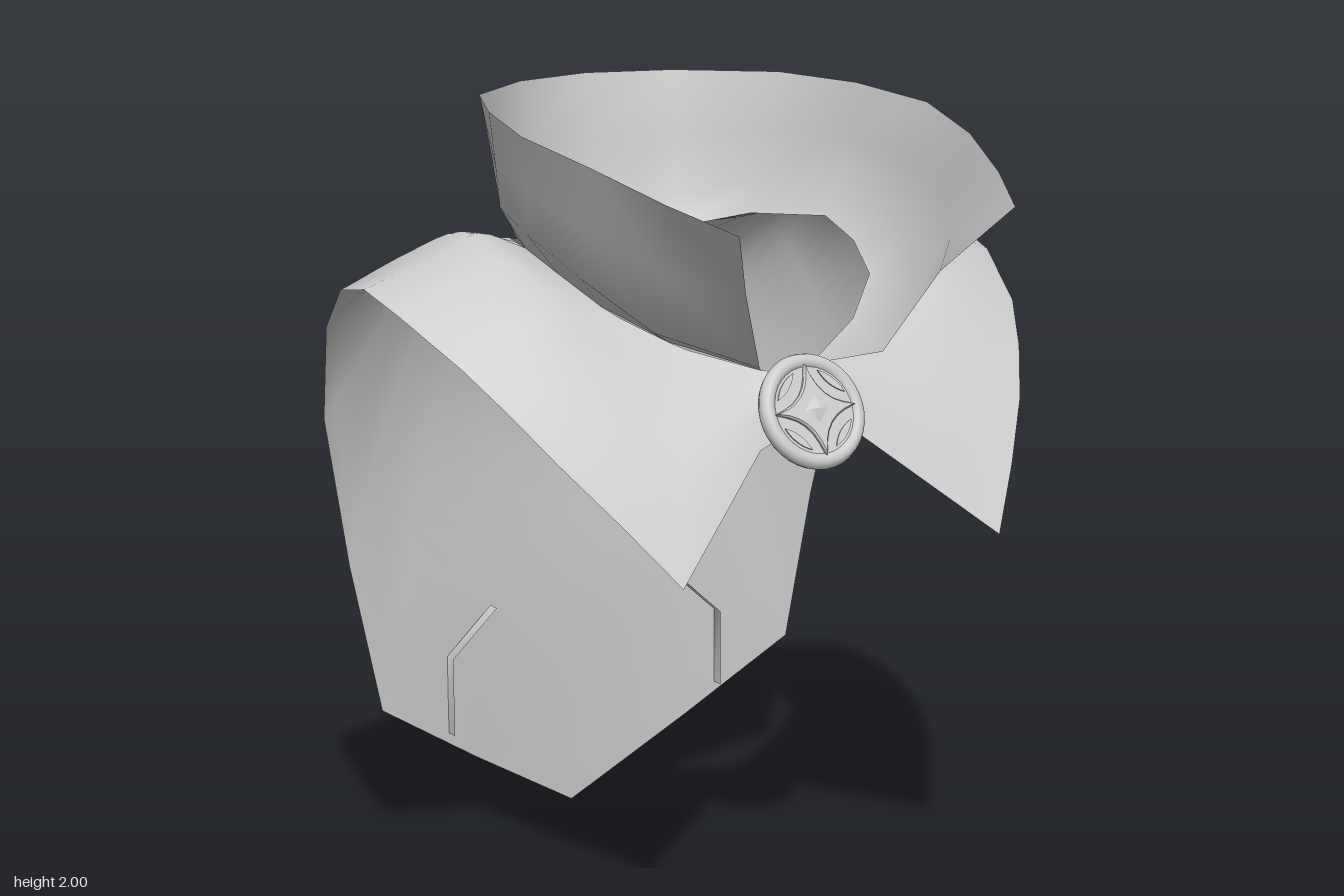
import * as THREE from 'three';

const cloth = new THREE.MeshStandardMaterial({ color: 0xcccccc, side: THREE.DoubleSide });
const metal = new THREE.MeshStandardMaterial({ color: 0xcccccc });

function addMesh(parent, name, geometry, material) {
  const mesh = new THREE.Mesh(geometry, material);
  mesh.name = name;
  parent.add(mesh);
  return mesh;
}

const toVectors = section => section.map(p => new THREE.Vector3(...p));

// Resamples a section evenly along a smooth curve.
function resample(section, count) {
  return new THREE.CatmullRomCurve3(toVectors(section), false, 'centripetal').getSpacedPoints(count);
}

// Adds the mirrored half; the last section lies on the centre plane.
function mirrorSections(half) {
  const other = half.slice(0, -1).reverse()
    .map(s => s.map(p => new THREE.Vector3(-p.x, p.y, p.z)));
  return [...half, ...other];
}

// Skin through sections with equal point counts.
function loft(sections) {
  const n = sections[0].length;
  const positions = [], index = [];
  sections.forEach(s => s.forEach(p => positions.push(p.x, p.y, p.z)));
  for (let i = 0; i < sections.length - 1; i++) {
    for (let j = 0; j < n - 1; j++) {
      const a = i * n + j, b = a + n;
      index.push(a, a + 1, b, b, a + 1, b + 1);
    }
  }
  const geometry = new THREE.BufferGeometry();
  geometry.setAttribute('position', new THREE.Float32BufferAttribute(positions, 3));
  geometry.setIndex(index);
  geometry.computeVertexNormals();
  return geometry;
}

// Front flap and shoulder, each section running from neck hole to hem.
const capeFront = [
  [[0, 1.4, 0.36], [0, 1.35, 0.39], [0, 1.29, 0.42]],
  [[0.07, 1.41, 0.34], [0.1, 1.36, 0.39], [0.14, 1.25, 0.45]],
  [[0.22, 1.46, 0.26], [0.32, 1.29, 0.41], [0.44, 1, 0.6]],
  [[0.26, 1.48, 0.235], [0.4, 1.365, 0.345], [0.545, 1.14, 0.505]],
  [[0.31, 1.51, 0.2], [0.46, 1.435, 0.28], [0.645, 1.27, 0.4]],
  [[0.35, 1.535, 0.165], [0.51, 1.5, 0.22], [0.715, 1.375, 0.3]],
  [[0.38, 1.56, 0.13], [0.55, 1.565, 0.16], [0.775, 1.465, 0.19]],
  [[0.42, 1.62, 0], [0.55, 1.66, 0], [0.7, 1.62, 0], [0.835, 1.56, 0]],
  [[0.43, 1.66, -0.14], [0.55, 1.705, -0.15], [0.64, 1.67, -0.15], [0.85, 1.6, -0.15]],
  [[0.41, 1.66, -0.23], [0.54, 1.69, -0.27], [0.66, 1.65, -0.29], [0.845, 1.575, -0.29]],
  [[0.37, 1.65, -0.33], [0.54, 1.645, -0.42], [0.82, 1.46, -0.43]],
];

// Back panel, ending on the centre line.
const capeBack = [
  [[0.3, 1.63, -0.39], [0.5, 1.58, -0.5], [0.775, 1.2, -0.56]],
  [[0.25, 1.62, -0.43], [0.42, 1.52, -0.55], [0.57, 1.2, -0.605], [0.7, 0.8, -0.6]],
  [[0.2, 1.61, -0.45], [0.33, 1.51, -0.56], [0.45, 1.15, -0.63], [0.62, 0.4, -0.6]],
  [[0.12, 1.6, -0.47], [0.18, 1.51, -0.575], [0.23, 1.2, -0.66], [0.28, 0.65, -0.655], [0.32, 0.2, -0.66]],
  [[0, 1.59, -0.49], [0, 1.58, -0.525], [0, 1.48, -0.59], [0, 1.35, -0.63], [0, 1.2, -0.675],
    [0, 0.65, -0.68], [0, 0, -0.72]],
];

// Collar sections from neck hole over the lower fold to the flared top.
const collarHalf = [
  [[0.07, 1.41, 0.34], [0.17, 1.455, 0.49], [0.265, 1.65, 0.58], [0.37, 1.81, 0.72]],
  [[0.26, 1.48, 0.235], [0.36, 1.53, 0.34], [0.4, 1.69, 0.43], [0.45, 1.86, 0.55]],
  [[0.38, 1.56, 0.13], [0.46, 1.64, 0.18], [0.49, 1.77, 0.26], [0.52, 1.92, 0.34]],
  [[0.42, 1.62, 0], [0.5, 1.72, 0], [0.52, 1.83, 0.05], [0.565, 1.965, 0.1]],
  [[0.43, 1.66, -0.14], [0.49, 1.76, -0.15], [0.5, 1.86, -0.15], [0.52, 1.99, -0.14]],
  [[0.34, 1.645, -0.35], [0.38, 1.73, -0.36], [0.4, 1.85, -0.36], [0.43, 2, -0.36]],
  [[0.2, 1.61, -0.45], [0.2, 1.69, -0.49], [0.21, 1.84, -0.51], [0.22, 2, -0.54]],
  [[0, 1.59, -0.49], [0, 1.68, -0.53], [0, 1.84, -0.555], [0, 2, -0.6]],
];

// Four-pointed star with hollow sides.
function starShape(tip, waist) {
  const shape = new THREE.Shape();
  shape.moveTo(tip, 0);
  for (let i = 0; i < 4; i++) {
    const a = i * Math.PI / 2, m = a + Math.PI / 4, e = a + Math.PI / 2;
    shape.quadraticCurveTo(waist * Math.cos(m), waist * Math.sin(m), tip * Math.cos(e), tip * Math.sin(e));
  }
  return shape;
}

// Leaf between a rim arc and an inward curve.
function leafShape(radius, inner) {
  const shape = new THREE.Shape();
  shape.absarc(0, 0, radius, 0.35, Math.PI / 2 - 0.35, false);
  shape.quadraticCurveTo(inner, inner, radius * Math.cos(0.35), radius * Math.sin(0.35));
  return shape;
}

function createBrooch() {
  const brooch = new THREE.Group();
  brooch.name = 'brooch';

  const disc = addMesh(brooch, 'broochDisc', new THREE.CylinderGeometry(0.125, 0.115, 0.025, 32), metal);
  disc.rotation.x = Math.PI / 2;
  addMesh(brooch, 'broochRim', new THREE.TorusGeometry(0.12, 0.02, 10, 36), metal);

  // star raised towards its centre
  const star = new THREE.ExtrudeGeometry(starShape(0.105, 0.02), {
    depth: 0.01, bevelEnabled: true, bevelThickness: 0.005, bevelSize: 0.004, bevelSegments: 1, curveSegments: 6,
  });
  addMesh(brooch, 'broochStar', star, metal).position.z = 0.008;
  const peak = addMesh(brooch, 'broochPeak', new THREE.ConeGeometry(0.035, 0.012, 4), metal);
  peak.rotation.x = Math.PI / 2;
  peak.position.z = 0.028;

  // raised leaves between the star points
  const leaf = new THREE.ExtrudeGeometry(leafShape(0.098, 0.05), {
    depth: 0.008, bevelEnabled: false, curveSegments: 8,
  });
  for (let i = 0; i < 4; i++) {
    const mesh = addMesh(brooch, 'broochLeaf', leaf, metal);
    mesh.rotation.z = i * Math.PI / 2;
    mesh.position.z = 0.008;
  }
  brooch.position.set(0, 1.325, 0.45);
  brooch.rotation.x = -0.47;
  return brooch;
}

export function createModel() {
  const model = new THREE.Group();
  model.name = 'shoulderCape';

  const capeHalf = [...capeFront, ...capeBack].map(s => resample(s, 14));
  addMesh(model, 'cape', loft(mirrorSections(capeHalf)), cloth);
  addMesh(model, 'collar', loft(mirrorSections(collarHalf.map(toVectors))), cloth);

  // narrow bent pleats on the inside of the back panel
  for (const side of [1, -1]) {
    const pleat = [[0.41, 0.29], [0.41, 0.5], [0.28, 0.62]].map(([x, y]) => [
      new THREE.Vector3(side * x, y, -0.605), new THREE.Vector3(side * x, y, -0.64),
    ]);
    addMesh(model, side > 0 ? 'leftPleat' : 'rightPleat', loft(pleat), cloth);
  }

  model.add(createBrooch());
  return model;
}
